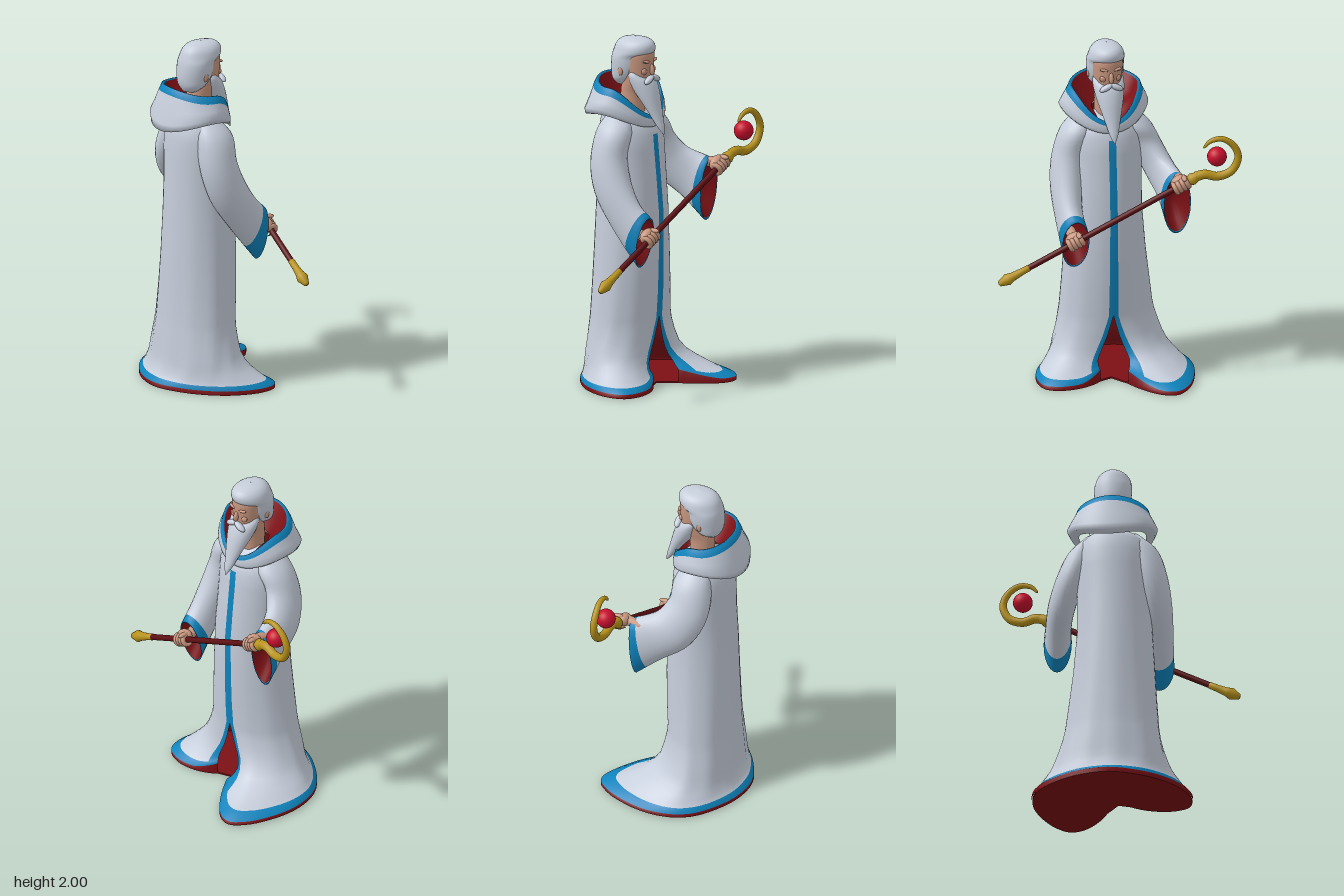
import * as THREE from 'three';

const V = (x, y, z) => new THREE.Vector3(x, y, z);
const paint = (name, color) => {
  const m = new THREE.MeshStandardMaterial({ color });
  m.name = name;
  return m;
};

// Skin a grid of points (rows of rings); faces are grouped by pick(row, col) and turned outward.
function loft(rows, { closed = true, materials, pick = () => 0, inward = false }) {
  const n = rows[0].length, pts = rows.flat(), mid = V(0, 0, 0);
  pts.forEach(p => mid.addScaledVector(p, 1 / pts.length));
  const sets = materials.map(() => []);
  let volume = 0;
  for (let i = 0; i < rows.length - 1; i++) {
    for (let j = 0; j < (closed ? n : n - 1); j++) {
      const k = (j + 1) % n, a = i * n + j, b = i * n + k, c = a + n, d = b + n;
      for (const t of [[a, c, b], [b, c, d]]) {
        const [p, q, r] = t.map(v => pts[v].clone().sub(mid));
        volume += p.dot(q.cross(r));
        sets[pick(i, j)].push(t);
      }
    }
  }
  const flip = (volume < 0) !== inward;
  const geo = new THREE.BufferGeometry().setFromPoints(pts);
  const index = [];
  sets.forEach((s, m) => {
    geo.addGroup(index.length, s.length * 3, m);
    s.forEach(([a, b, c]) => index.push(...(flip ? [a, c, b] : [a, b, c])));
  });
  geo.setIndex(index);
  geo.computeVertexNormals();
  return new THREE.Mesh(geo, materials.length > 1 ? materials : materials[0]);
}

// Horizontal oval rings from [y, back x, front x, half width], smoothed along the height.
function ovals(table, n = 28, steps = 24) {
  const side = new THREE.CatmullRomCurve3(table.map(r => V(r[1], r[0], r[3])));
  const front = new THREE.CatmullRomCurve3(table.map(r => V(r[2], r[0], 0)));
  return Array.from({ length: steps + 1 }, (_, i) => {
    const b = side.getPoint(i / steps), f = front.getPoint(i / steps);
    return Array.from({ length: n }, (_, j) => {
      const t = j / n * Math.PI * 2;
      return V((b.x + f.x) / 2 + (f.x - b.x) / 2 * Math.cos(t), b.y, Math.max(b.z, 0.002) * Math.sin(t));
    });
  });
}

export function createModel() {
  const model = new THREE.Group();
  model.name = 'robedElder';
  const white = paint('white cloth and hair', 0xc6cedb);
  const blue = paint('blue trim', 0x0f84bd);
  const red = paint('red lining', 0x7c1015);
  const wood = paint('dark red shaft', 0x5c0f12);
  const gold = paint('gold', 0xb8931c);
  const gem = paint('bright red orb', 0xc80f2c);
  const skin = paint('skin', 0xc9977f);
  const add = (name, mesh, parent = model) => { mesh.name = name; parent.add(mesh); return mesh; };
  const ball = (name, mat, p, s, parent = model) => {
    const m = add(name, new THREE.Mesh(new THREE.SphereGeometry(1, 20, 14), mat), parent);
    m.position.set(...p);
    m.scale.set(...s);
    return m;
  };

  // Hem outline as [angle, radius] around the robe axis, from one front edge to the other
  const hem = new THREE.CatmullRomCurve3([[0.38, 0.215], [0.64, 0.336], [0.867, 0.433], [1.04, 0.475], [1.24, 0.46],
    [1.57, 0.4], [2.05, 0.326], [2.6, 0.29], [3.14, 0.3], [3.64, 0.318], [4.12, 0.36], [4.6, 0.443], [4.92, 0.485],
    [5.31, 0.533], [5.58, 0.575], [5.74, 0.583], [5.85, 0.53], [5.95, 0.42], [6.05, 0.28]].map(p => V(p[0], p[1], 0)));
  const cols = 72;
  const hemAt = j => {
    const h = hem.getPoint(j / cols);
    return { a: h.x, x: -0.1 + h.y * Math.cos(h.x), z: h.y * Math.sin(h.x) };
  };

  // Robe rows: y, back x, front x, half width +z, half width -z, share of hem shape, half opening angle
  const robeTable = [
    [0.004, -0.34, 0.07, 0.3, 0.32, 1, 0.38], [0.026, -0.34, 0.07, 0.3, 0.32, 1, 0.38],
    [0.05, -0.34, 0.07, 0.3, 0.32, 0.78, 0.37], [0.075, -0.338, 0.07, 0.3, 0.32, 0.62, 0.35],
    [0.105, -0.337, 0.07, 0.3, 0.32, 0.44, 0.32], [0.14, -0.336, 0.07, 0.3, 0.315, 0.27, 0.26],
    [0.19, -0.334, 0.07, 0.295, 0.31, 0.14, 0.19], [0.26, -0.33, 0.075, 0.28, 0.295, 0.07, 0.11],
    [0.33, -0.325, 0.08, 0.27, 0.28, 0.02, 0.05], [0.39, -0.32, 0.085, 0.262, 0.27, 0, 0],
    [0.55, -0.314, 0.095, 0.25, 0.25, 0, 0], [0.75, -0.307, 0.1, 0.238, 0.226, 0, 0],
    [1.0, -0.3, 0.1, 0.222, 0.205, 0, 0], [1.2, -0.29, 0.082, 0.212, 0.205, 0, 0],
    [1.36, -0.287, 0.066, 0.21, 0.21, 0, 0], [1.45, -0.283, 0.058, 0.208, 0.208, 0, 0],
    [1.53, -0.27, 0.02, 0.185, 0.185, 0, 0], [1.57, -0.24, -0.04, 0.14, 0.14, 0, 0], [1.59, -0.2, -0.06, 0.08, 0.08, 0, 0]];
  const robeRows = inset => robeTable.map(([y, xb, xf, zp, zn, share, g], i) => Array.from({ length: cols + 1 }, (_, j) => {
    const h = hemAt(j);
    let t = g + (h.a - 0.38) / 5.67 * (Math.PI * 2 - 2 * g);
    // Narrow columns along both front edges carry the trim
    if (j <= 2) t = g + j * 0.05;
    if (j >= cols - 4) t = Math.PI * 2 - g - (cols - j) * 0.026;
    // The cloth falls steeper at the back and sweeps up toward the front opening
    const w = Math.pow(share, 1 + 1.5 * Math.max(0, -Math.cos(h.a)));
    const lift = i && h.x > 0 ? 0.09 * share * Math.pow(Math.max(0, 1 - Math.abs(h.z) / 0.22), 1.5) : 0;
    // Soft folds that fade toward the chest and the front edge
    const fold = 1 + 0.018 * Math.sin(11 * t) * Math.max(0, 1 - y / 1.3) * Math.sin(t / 2) * (1 - w);
    const ex = (xb + xf) / 2 + (xf - xb) / 2 * Math.cos(t) * fold;
    const ez = Math.sin(t) * (t < Math.PI ? zp : zn) * fold;
    const x = ex + (h.x - ex) * w, z = ez + (h.z - ez) * w;
    return V(-0.1 + (x + 0.1) * inset, y + lift, z * inset);
  }));
  add('robe', loft(robeRows(1), {
    closed: false, materials: [white, blue, red],
    pick: (i, j) => (i < 1 ? 2 : i < 2 || ((j < 2 || j >= cols - 4) && i < 15) ? 1 : 0),
  }));
  add('robeLining', loft(robeRows(0.975), { closed: false, materials: [red], inward: true }));

  // Red sole closing the robe underneath, notched at the front opening
  const outline = new THREE.Shape(Array.from({ length: cols + 1 }, (_, j) => {
    const h = hemAt(j);
    return new THREE.Vector2(h.x * 0.99, h.z * 0.99);
  }).concat(new THREE.Vector2(0.07, 0.01)));
  const sole = new THREE.ExtrudeGeometry(outline, { depth: 0.01, bevelEnabled: false }).rotateX(Math.PI / 2);
  add('robeSole', new THREE.Mesh(sole, red)).position.y = 0.01;

  // Folded hood collar: centre x, x radius, z radius, then heights at back, side and front
  const collar = [
    [-0.14, 0.18, 0.19, 1.515, 1.575, 1.49], [-0.155, 0.213, 0.24, 1.52, 1.58, 1.495],
    [-0.155, 0.213, 0.256, 1.56, 1.61, 1.51], [-0.14, 0.2, 0.24, 1.64, 1.65, 1.525],
    [-0.13, 0.188, 0.219, 1.725, 1.69, 1.54], [-0.125, 0.175, 0.204, 1.763, 1.732, 1.565],
    [-0.122, 0.163, 0.188, 1.757, 1.728, 1.56], [-0.115, 0.14, 0.15, 1.68, 1.65, 1.53], [-0.1, 0.1, 0.08, 1.6, 1.6, 1.5]];
  const collarRows = collar.map(([cx, a, b, back, side, front]) => Array.from({ length: 48 }, (_, j) => {
    const t = j / 48 * Math.PI * 2, c = Math.cos(t);
    return V(cx + a * c, side + ((c > 0 ? front : back) - side) * c * c, b * Math.sin(t));
  }));
  add('hoodCollar', loft(collarRows, { materials: [white, blue, red], pick: i => (i < 4 ? 0 : i < 6 ? 1 : 2) }));

  // Wide sleeves: front/top edge x,y, back/bottom edge x,y, centre z, half width
  function sleeve(name, table) {
    const top = new THREE.CatmullRomCurve3(table.map(s => V(s[0], s[1], s[4])));
    const low = new THREE.CatmullRomCurve3(table.map(s => V(s[2], s[3], s[5])));
    const ring = (u, k) => {
      const a = top.getPoint(u), b = low.getPoint(u);
      return Array.from({ length: 24 }, (_, j) => {
        const t = j / 24 * Math.PI * 2, c = Math.cos(t) * k;
        return V((a.x + b.x) / 2 + (a.x - b.x) / 2 * c, (a.y + b.y) / 2 + (a.y - b.y) / 2 * c,
          a.z + b.z * k * Math.sin(t));
      });
    };
    const n = 22, rows = Array.from({ length: n + 1 }, (_, i) => ring(i / n, 1));
    rows.push(ring(1, 0.93), ring(0.93, 0.85), ring(0.85, 0.55), ring(0.84, 0.02));
    add(name, loft(rows, { materials: [white, blue, red], pick: i => (i < n - 2 ? 0 : i <= n ? 1 : 2) }));
  }
  sleeve('rightSleeve', [[-0.08, 1.59, -0.17, 1.58, 0.11, 0.04], [0, 1.49, -0.21, 1.49, 0.165, 0.088],
    [0, 1.34, -0.22, 1.3, 0.215, 0.095], [0.05, 1.2, -0.17, 1.12, 0.24, 0.09],
    [0.12, 1.09, -0.04, 0.93, 0.248, 0.078], [0.185, 1.03, 0.125, 0.73, 0.238, 0.08]]);
  sleeve('leftSleeve', [[-0.08, 1.59, -0.17, 1.58, -0.11, 0.04], [0, 1.49, -0.21, 1.49, -0.165, 0.088],
    [0.005, 1.39, -0.22, 1.3, -0.235, 0.09], [0.06, 1.31, -0.14, 1.13, -0.295, 0.082],
    [0.13, 1.28, 0.02, 1.01, -0.33, 0.075], [0.195, 1.26, 0.16, 0.89, -0.347, 0.08]]);

  // Head, hair and beard
  add('headAndNeck', loft(ovals([[1.56, -0.17, -0.03, 0.065], [1.68, -0.17, -0.02, 0.066], [1.74, -0.16, 0.015, 0.075],
    [1.79, -0.16, 0.028, 0.08], [1.86, -0.16, 0.032, 0.086], [1.92, -0.15, 0.03, 0.083], [1.96, -0.12, 0, 0.05]]),
  { materials: [skin] }));
  add('hair', loft(ovals([[1.72, -0.2, -0.11, 0.05], [1.755, -0.22, -0.07, 0.088], [1.8, -0.228, -0.03, 0.1],
    [1.85, -0.226, -0.015, 0.107], [1.89, -0.22, -0.008, 0.107], [1.92, -0.212, 0.034, 0.103],
    [1.96, -0.195, 0.038, 0.09], [1.988, -0.16, 0.01, 0.06], [2.0, -0.085, -0.081, 0.002]]), { materials: [white] }));
  add('beard', loft(ovals([[1.825, -0.09, -0.025, 0.07], [1.79, -0.1, 0.005, 0.09], [1.76, -0.1, 0.035, 0.09],
    [1.73, -0.09, 0.052, 0.086], [1.68, -0.06, 0.07, 0.075], [1.62, -0.01, 0.085, 0.058], [1.55, 0.04, 0.102, 0.038],
    [1.5, 0.075, 0.115, 0.024], [1.455, 0.113, 0.12, 0.003]]), { materials: [white] }));
  ball('nose', skin, [0.032, 1.823, 0], [0.018, 0.034, 0.014]).rotation.z = 0.25;
  for (const s of [1, -1]) {
    ball('moustache', white, [0.036, 1.768, s * 0.03], [0.02, 0.017, 0.042]).rotation.x = s * 0.45;
    ball('brow', skin, [0.02, 1.87, s * 0.034], [0.014, 0.009, 0.03]).rotation.x = -s * 0.15;
    ball('cheek', skin, [0.01, 1.815, s * 0.04], [0.014, 0.02, 0.022]);
    ball('ear', skin, [-0.115, 1.81, s * 0.098], [0.016, 0.026, 0.01]);
  }

  // Staff: turned tip, shaft and ferrule along one slanted axis
  const foot = V(0.17, 0.69, 0.685), head = V(0.262, 1.27, -0.44);
  const axis = head.clone().sub(foot).normalize(), length = head.distanceTo(foot);
  const staff = new THREE.Group();
  staff.name = 'staff';
  staff.position.copy(foot);
  staff.quaternion.setFromUnitVectors(V(0, 1, 0), axis);
  model.add(staff);
  const turned = (name, mat, profile) => add(name, new THREE.Mesh(
    new THREE.LatheGeometry(profile.map(p => new THREE.Vector2(p[0], p[1])), 16), mat), staff);
  turned('staffTip', gold, [[0.001, -0.005], [0.016, 0], [0.034, 0.052], [0.025, 0.085], [0.02, 0.14], [0.019, 0.19], [0.001, 0.19]]);
  turned('shaft', wood, [[0.017, 0.18], [0.017, length - 0.03]]);
  turned('ferrule', gold, [[0.001, length - 0.06], [0.022, length - 0.06], [0.036, length - 0.03], [0.026, length], [0.024, length + 0.03]]);

  // Tapering crook and the orb floating in it
  const crook = new THREE.CatmullRomCurve3([V(0.262, 1.27, -0.43), V(0.27, 1.283, -0.485), V(0.28, 1.268, -0.555),
    V(0.293, 1.3, -0.635), V(0.3, 1.385, -0.671), V(0.3, 1.46, -0.64), V(0.3, 1.503, -0.575), V(0.295, 1.492, -0.51), V(0.29, 1.452, -0.472)]);
  add('crook', loft(Array.from({ length: 41 }, (_, i) => {
    const u = i / 40, p = crook.getPoint(u), side = crook.getTangent(u).cross(V(1, 0, 0)).normalize();
    const r = 0.003 + 0.025 * Math.pow(1 - u, 0.45);
    return Array.from({ length: 14 }, (_, j) => {
      const t = j / 14 * Math.PI * 2;
      return p.clone().addScaledVector(side, r * Math.cos(t)).add(V(r * Math.sin(t), 0, 0));
    });
  }), { materials: [gold] }));
  ball('orb', gem, [0.27, 1.385, -0.555], [0.056, 0.056, 0.056]);

  // Hands gripping the shaft, with fingers curled around it
  function hand(name, z, wristTurn) {
    const g = new THREE.Group();
    g.name = name;
    g.position.copy(foot).addScaledVector(axis, (z - foot.z) / axis.z);
    g.quaternion.setFromUnitVectors(V(0, 0, 1), axis.clone().negate());
    model.add(g);
    for (let i = 0; i < 4; i++) {
      const f = add('finger', new THREE.Mesh(new THREE.TorusGeometry(0.028, 0.0145, 8, 18, 4.2), skin), g);
      f.position.z = (i - 1.5) * 0.024;
      f.rotation.z = -2.1;
    }
    ball('palm', skin, [-0.018, 0.016, 0], [0.036, 0.038, 0.054], g);
    ball('thumb', skin, [0.012, 0.034, -0.036], [0.034, 0.014, 0.015], g);
    const wrist = add('wrist', new THREE.Mesh(new THREE.CapsuleGeometry(0.03, 0.09, 6, 14), skin), g);
    wrist.position.set(-0.07, 0.012, 0);
    wrist.rotation.z = Math.PI / 2 + wristTurn;
  }
  hand('rightHand', 0.25, -0.35);
  hand('leftHand', -0.35, 0.15);

  return model;
}
